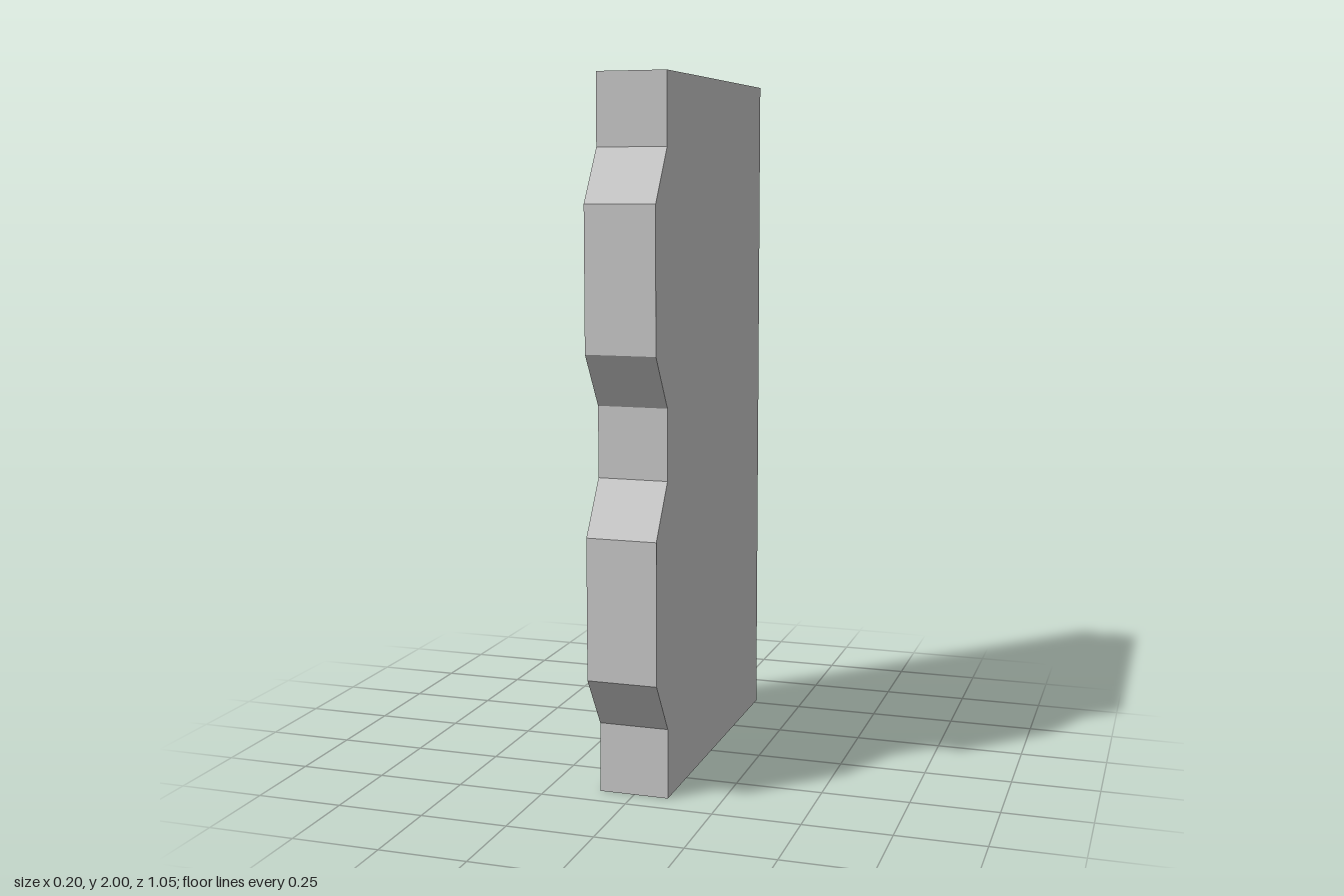
import * as THREE from 'three';

const WIDTH = 0.2;       // thickness along x
const BACK = -0.523;     // back edge z
const RECESS = 0.425;    // front edge z between the teeth
const CREST = 0.523;     // front edge z on the teeth

export function createModel() {
  const group = new THREE.Group();
  group.name = 'notchedPanel';

  // Side profile: shape x becomes model z
  const profile = new THREE.Shape();
  profile.moveTo(BACK, 0);
  profile.lineTo(RECESS, 0);
  // Two bevelled teeth on the front edge
  for (const base of [0.2, 1.1]) {
    profile.lineTo(RECESS, base);
    profile.lineTo(CREST, base + 0.15);
    profile.lineTo(CREST, base + 0.55);
    profile.lineTo(RECESS, base + 0.7);
  }
  profile.lineTo(RECESS, 2);
  profile.lineTo(BACK, 2);
  profile.closePath();

  const geometry = new THREE.ExtrudeGeometry(profile, { depth: WIDTH, bevelEnabled: false });
  geometry.translate(0, 0, -WIDTH / 2);
  geometry.rotateY(-Math.PI / 2);

  const panel = new THREE.Mesh(
    geometry,
    new THREE.MeshStandardMaterial({ color: 0xcccccc, flatShading: true })
  );
  panel.name = 'panel';
  group.add(panel);
  return group;
}
